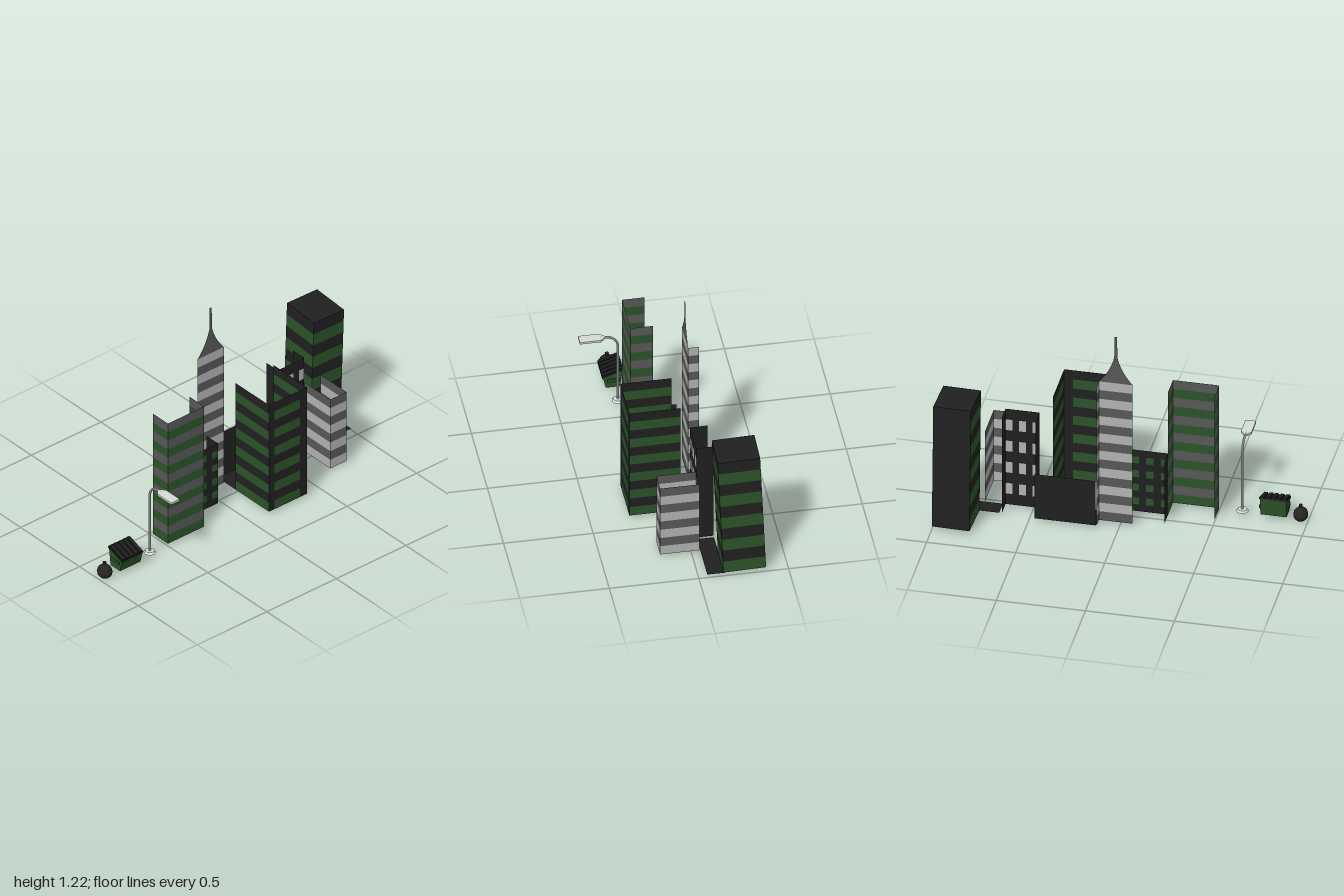
import * as THREE from 'three';
import { mergeGeometries } from 'three/addons/utils/BufferGeometryUtils.js';

const mat = (color) => new THREE.MeshStandardMaterial({ color, side: THREE.DoubleSide, flatShading: true });
const BLACK = mat(0x202020), GREEN = mat(0x2b5329), DARK = mat(0x585858), LIGHT = mat(0xb2b2b2);
const STEEL = mat(0xd5dcda), BAG = mat(0x252525);
const GROUND = 0.018;

function add(parent, name, geometry, material, x = 0, y = 0, z = 0) {
  const m = new THREE.Mesh(geometry, material);
  m.name = name;
  m.position.set(x, y, z);
  parent.add(m);
  return m;
}

function named(parent, name) {
  const g = new THREE.Group();
  g.name = name;
  parent.add(g);
  return g;
}

// Upright sheet from a to b ([x, z]), split into cells; us and vs are rising break fractions
function wall(parent, name, a, b, y0, y1, us, vs, pick) {
  const byMat = new Map();
  const dx = b[0] - a[0], dz = b[1] - a[1], len = Math.hypot(dx, dz);
  for (let j = 0; j < vs.length - 1; j++) for (let i = 0; i < us.length - 1; i++) {
    const g = new THREE.PlaneGeometry((us[i + 1] - us[i]) * len, (vs[j + 1] - vs[j]) * (y1 - y0));
    const u = (us[i] + us[i + 1]) / 2, v = (vs[j] + vs[j + 1]) / 2;
    g.rotateY(Math.atan2(-dz, dx));
    g.translate(a[0] + dx * u, y0 + (y1 - y0) * v, a[1] + dz * u);
    const m = pick(i, j);
    byMat.set(m, [...(byMat.get(m) || []), g]);
  }
  for (const [m, list] of byMat) add(parent, name, mergeGeometries(list), m);
}

const even = (n) => Array.from({ length: n + 1 }, (_, i) => i / n);
const plain = (m) => ({ us: [0, 1], vs: [0, 1], pick: () => m });
// Horizontal bands, first colour at the bottom
const bands = (n, low, high) => ({ us: [0, 1], vs: even(n), pick: (i, j) => (j % 2 ? high : low) });

// Building shell open at the top and on the left
function shell(parent, name, x0, x1, z0, z1, top, sides) {
  const g = named(parent, name);
  const put = (n, a, b, s) => s && wall(g, n, a, b, GROUND, top, s.us, s.vs, s.pick);
  put('frontWall', [x0, z1], [x1, z1], sides.front);
  put('rightWall', [x1, z1], [x1, z0], sides.right);
  put('backWall', [x1, z0], [x0, z0], sides.back);
  put('leftWall', [x0, z0], [x0, z1], sides.left);
  return g;
}

function flat(parent, name, x0, x1, z0, z1, y, material) {
  const g = new THREE.PlaneGeometry(x1 - x0, z1 - z0).rotateX(-Math.PI / 2);
  return add(parent, name, g, material, (x0 + x1) / 2, y, (z0 + z1) / 2);
}

function buildCity(root) {
  const city = named(root, 'skyline');

  // Grey and green tower
  const greyGreen = bands(14, GREEN, DARK);
  shell(city, 'greyGreenTower', 0.035, 0.16, 0.24, 0.5, 0.815, { front: greyGreen, right: greyGreen, back: greyGreen });

  // Low black block with green windows
  const rowsOf = (n) => even(2 * n + 1);
  const windows = (n, m) => ({ us: even(5), vs: rowsOf(n), pick: (i, j) => (i % 2 === 0 && j % 2 ? m : BLACK) });
  shell(city, 'lowBlock', -0.06, 0.035, 0.035, 0.24, 0.415,
    { front: plain(BLACK), right: windows(4, GREEN), back: plain(BLACK) });

  // Slim tower with a flat spire
  const greys = bands(16, DARK, LIGHT);
  const slim = shell(city, 'spireTower', -0.157, -0.097, -0.12, 0.07, 0.918, { right: greys, back: greys });
  const s = new THREE.Shape();
  s.moveTo(-0.095, 0);
  s.quadraticCurveTo(-0.03, 0.075, -0.009, 0.165);
  s.lineTo(-0.007, 0.302);
  s.lineTo(0.007, 0.302);
  s.lineTo(0.009, 0.165);
  s.quadraticCurveTo(0.03, 0.075, 0.095, 0);
  add(slim, 'spire', new THREE.ShapeGeometry(s, 8).rotateY(Math.PI / 2), DARK, -0.097, 0.918, -0.025);

  // Wide green block; its right wall has inset bands
  const wide = bands(12, GREEN, BLACK);
  shell(city, 'wideBlock', -0.005, 0.28, -0.397, -0.125, 0.725, {
    front: wide, back: wide,
    right: { us: [0, 0.15, 0.82, 1], vs: even(12), pick: (i, j) => (i === 1 && j % 2 === 0 ? GREEN : BLACK) },
  });

  // Low black wall and floor linking the blocks
  wall(city, 'linkWall', [-0.157, -0.125], [-0.157, -0.47], GROUND, 0.305, [0, 1], [0, 1], () => BLACK);
  flat(city, 'linkFloor', -0.157, -0.005, -0.4, -0.125, GROUND, BLACK);

  // Black block with light windows
  shell(city, 'windowBlock', -0.143, -0.047, -0.655, -0.465, 0.637,
    { front: plain(BLACK), right: windows(4, LIGHT), back: plain(BLACK) });

  // Light striped block
  const stripes = bands(8, LIGHT, DARK);
  shell(city, 'stripedBlock', -0.045, 0.175, -0.77, -0.655, 0.475, { front: stripes, right: stripes, back: stripes });
  flat(city, 'rearFloor', -0.143, -0.048, -0.993, -0.67, GROUND, BLACK);

  // Leaning tower with a roof
  const lean = bands(10, GREEN, BLACK);
  const tower = shell(city, 'leaningTower', -0.118, 0.118, -0.106, 0.106, 0.778,
    { front: lean, right: lean, back: lean, left: plain(BLACK) });
  flat(tower, 'roof', -0.118, 0.118, -0.106, 0.106, 0.778, BLACK);
  tower.position.set(-0.26, 0.006, -0.889);
  tower.rotation.set(0, -0.025, -0.043);
}

function buildLamp(root) {
  const lamp = named(root, 'streetLamp');
  lamp.position.set(0.16, 0, 0.63);
  add(lamp, 'base', new THREE.CylinderGeometry(0.025, 0.034, 0.012, 16), STEEL, 0, 0.026, 0);
  // Pole curving into the arm
  const path = new THREE.CurvePath();
  const v = (x, y) => new THREE.Vector3(x, y, 0);
  path.add(new THREE.LineCurve3(v(0, 0.025), v(0, 0.395)));
  path.add(new THREE.CubicBezierCurve3(v(0, 0.395), v(0, 0.435), v(0.03, 0.465), v(0.07, 0.465)));
  path.add(new THREE.LineCurve3(v(0.07, 0.465), v(0.1, 0.465)));
  add(lamp, 'pole', new THREE.TubeGeometry(path, 60, 0.007, 8), STEEL);
  // Tapered head
  const s = new THREE.Shape();
  [[0.075, -0.008], [0.1, -0.03], [0.217, -0.03], [0.217, 0.03], [0.1, 0.03], [0.075, 0.008]]
    .forEach(([x, y], i) => (i ? s.lineTo(x, y) : s.moveTo(x, y)));
  const head = new THREE.ExtrudeGeometry(s, { depth: 0.013, bevelEnabled: false }).rotateX(-Math.PI / 2);
  add(lamp, 'lampHead', head, STEEL, 0, 0.458, 0);
}

function buildDumpster(root) {
  const d = named(root, 'dumpster');
  const z0 = 0.738, z1 = 0.885;
  const s = new THREE.Shape();
  [[0.128, 0.03], [0.208, 0.03], [0.224, 0.098], [0.114, 0.138]]
    .forEach(([x, y], i) => (i ? s.lineTo(x, y) : s.moveTo(x, y)));
  add(d, 'bin', new THREE.ExtrudeGeometry(s, { depth: z1 - z0, bevelEnabled: false }), GREEN, 0, 0, z0);
  // Sloping lid with ribs
  const lid = named(d, 'lid');
  lid.position.set(0.169, 0.123, (z0 + z1) / 2);
  lid.rotation.z = Math.atan2(-0.04, 0.11);
  add(lid, 'lidPanel', new THREE.BoxGeometry(0.123, 0.01, 0.155), BLACK);
  for (let i = -2; i <= 2; i++) add(lid, 'lidRib', new THREE.BoxGeometry(0.119, 0.008, 0.021), BLACK, 0, 0.008, i * 0.031);
  // Side lifting pockets and front lip
  for (const z of [z0, z1]) add(d, 'sidePocket', new THREE.BoxGeometry(0.072, 0.018, 0.014), GREEN, 0.166, 0.078, z);
  add(d, 'lip', new THREE.BoxGeometry(0.01, 0.01, z1 - z0), GREEN, 0.222, 0.094, (z0 + z1) / 2);
}

function buildBag(root) {
  // Tied rubbish bag with a creased body
  const profile = [[0, 0], [0.026, 0.002], [0.042, 0.018], [0.046, 0.038], [0.038, 0.06], [0.02, 0.076],
    [0.007, 0.082], [0.012, 0.096], [0, 0.093]].map(([x, y]) => new THREE.Vector2(x, y));
  const g = new THREE.LatheGeometry(profile, 14);
  const p = g.attributes.position;
  for (let i = 0; i < p.count; i++) {
    const a = Math.atan2(p.getZ(i), p.getX(i));
    const k = 1 + 0.045 * Math.cos(7 * a) * Math.sin(p.getY(i) * 33);
    p.setXYZ(i, p.getX(i) * k, p.getY(i), p.getZ(i) * k * 0.9);
  }
  g.computeVertexNormals();
  add(root, 'rubbishBag', g, BAG, 0.163, 0.003, 0.957);
}

export function createModel() {
  const root = new THREE.Group();
  root.name = 'cityScene';
  buildCity(root);
  buildLamp(root);
  buildDumpster(root);
  buildBag(root);
  return root;
}
